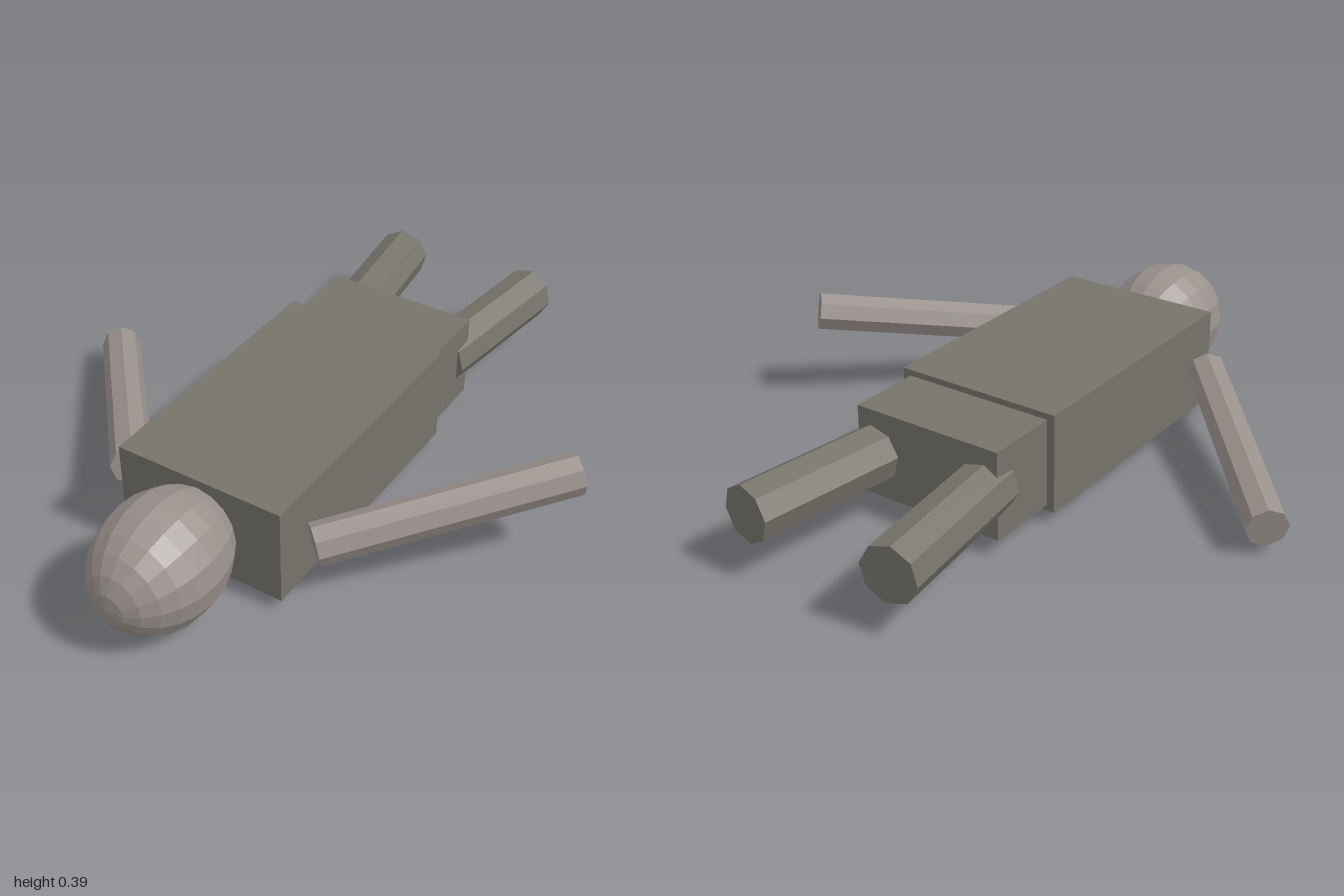
import * as THREE from 'three';

const skin = new THREE.MeshStandardMaterial({ name: 'warm grey', color: 0x98908b, flatShading: true });
const cloth = new THREE.MeshStandardMaterial({ name: 'olive grey', color: 0x76736a, flatShading: true });

export function createModel() {
  const group = new THREE.Group();
  group.name = 'lyingFigure';
  const midY = 0.197;

  const add = (name, geometry, material, x, y, z) => {
    const mesh = new THREE.Mesh(geometry, material);
    mesh.name = name;
    mesh.position.set(x, y, z);
    group.add(mesh);
    return mesh;
  };

  // Eight-sided rod between two points
  const limb = (name, material, radius, from, to) => {
    const a = new THREE.Vector3(...from);
    const b = new THREE.Vector3(...to);
    const mid = a.clone().add(b).multiplyScalar(0.5);
    const geometry = new THREE.CylinderGeometry(radius, radius, a.distanceTo(b), 8);
    const mesh = add(name, geometry, material, mid.x, mid.y, mid.z);
    mesh.quaternion.setFromUnitVectors(new THREE.Vector3(0, 1, 0), b.sub(a).normalize());
  };

  // Head: a sphere with its poles along z, stretched lengthwise
  const headShape = new THREE.SphereGeometry(1, 16, 12);
  headShape.rotateX(Math.PI / 2);
  headShape.scale(0.183, 0.193, 0.235);
  add('head', headShape, skin, 0, midY, 0.763);

  // Body blocks
  add('torso', new THREE.BoxGeometry(0.542, 0.312, 0.89), cloth, 0, midY, 0.145);
  add('pelvis', new THREE.BoxGeometry(0.492, 0.274, 0.24), cloth, 0, midY, -0.414);

  // Arms: the left one is raised, the right one is lowered
  limb('leftArm', skin, 0.063, [0.315, midY, 0.491], [0.842, 0.308, -0.053]);
  limb('rightArm', skin, 0.063, [-0.317, midY, 0.493], [-0.842, 0.092, -0.098]);

  // Legs, slightly spread
  for (const [name, s] of [['leftLeg', 1], ['rightLeg', -1]]) {
    limb(name, cloth, 0.087, [s * 0.182, midY, -0.475], [s * 0.247, midY, -0.988]);
  }
  return group;
}
